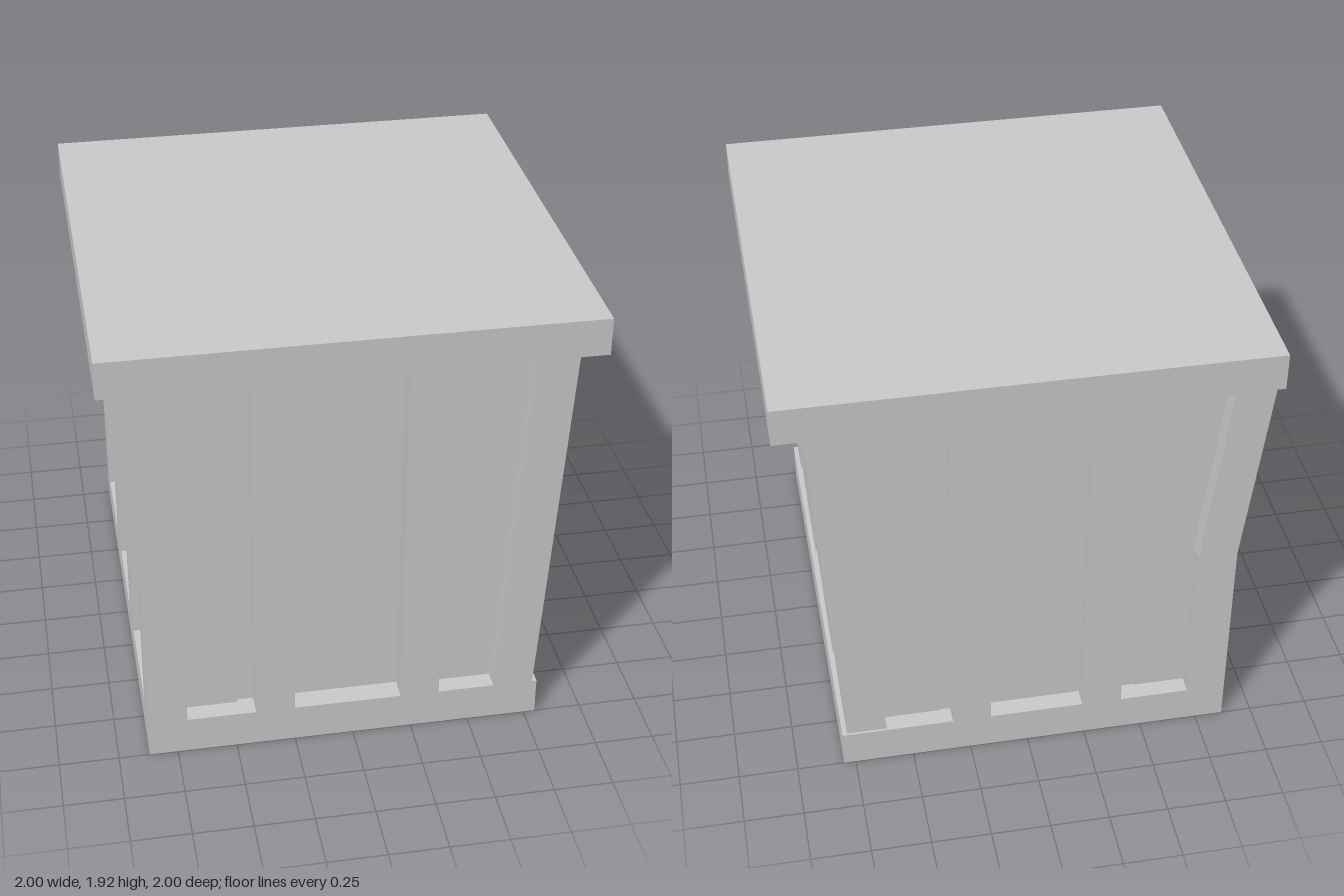
import * as THREE from 'three';

const FLOOR = 0.165, CEIL = 1.76;
// Outer outlines of the two side walls, as [x, y] from bottom to top
const BENT = [[-0.87, FLOOR], [-0.87, 0.93], [-0.965, CEIL]];
const SLOPED = [[0.78, FLOOR], [0.88, CEIL]];

export function createModel() {
  const group = new THREE.Group();
  const material = new THREE.MeshStandardMaterial({ color: 0xcccccc, flatShading: true });

  const add = (name, geometry) => {
    const mesh = new THREE.Mesh(geometry, material);
    mesh.name = name;
    group.add(mesh);
  };

  // Box given by its limits on each axis
  const block = (name, x0, x1, y0, y1, z0, z1) => {
    const geometry = new THREE.BoxGeometry(x1 - x0, y1 - y0, z1 - z0);
    geometry.translate((x0 + x1) / 2, (y0 + y1) / 2, (z0 + z1) / 2);
    add(name, geometry);
  };

  // Band that follows a wall outline between two x offsets, extruded from z0 to z1
  const band = (name, line, from, to, z0, z1) => {
    const points = [
      ...line.map(([x, y]) => new THREE.Vector2(x + from, y)),
      ...line.map(([x, y]) => new THREE.Vector2(x + to, y)).reverse(),
    ];
    const geometry = new THREE.ExtrudeGeometry(new THREE.Shape(points), { depth: z1 - z0, bevelEnabled: false });
    geometry.translate(0, 0, z0);
    add(name, geometry);
  };

  // Lid and base
  block('lid', -1, 1, CEIL, 1.92, -1, 1);
  block('base', -0.87, 0.8, 0, FLOOR, -1, 1);

  // Recessed panels: one upright core between two leaning walls
  block('corePanel', -0.62, 0.5, FLOOR, CEIL, -0.92, 0.905);
  band('bentWallPanel', BENT, 0.045, 0.385, -0.925, 0.92);
  band('slopedWallPanel', SLOPED, -0.41, -0.085, -0.925, 0.92);

  // Corner and middle posts of the bent side
  for (const [z0, z1] of [[-1, -0.84], [-0.42, -0.25], [0.19, 0.36], [0.83, 1]]) {
    band('bentPost', BENT, 0, 0.165, z0, z1);
  }
  // Corner and middle posts of the sloped side
  for (const [z0, z1] of [[-0.99, -0.825], [-0.49, -0.33], [0.2, 0.36], [0.835, 1]]) {
    band('slopedPost', SLOPED, -0.17, 0, z0, z1);
  }

  // Upright posts on the front and the back
  for (const [x0, x1] of [[-0.415, -0.25], [0.205, 0.37]]) {
    block('frontPost', x0, x1, FLOOR, CEIL, 0.835, 1);
  }
  for (const [x0, x1] of [[-0.41, -0.24], [0.16, 0.325]]) {
    block('backPost', x0, x1, FLOOR, CEIL, -1, -0.835);
  }

  return group;
}
